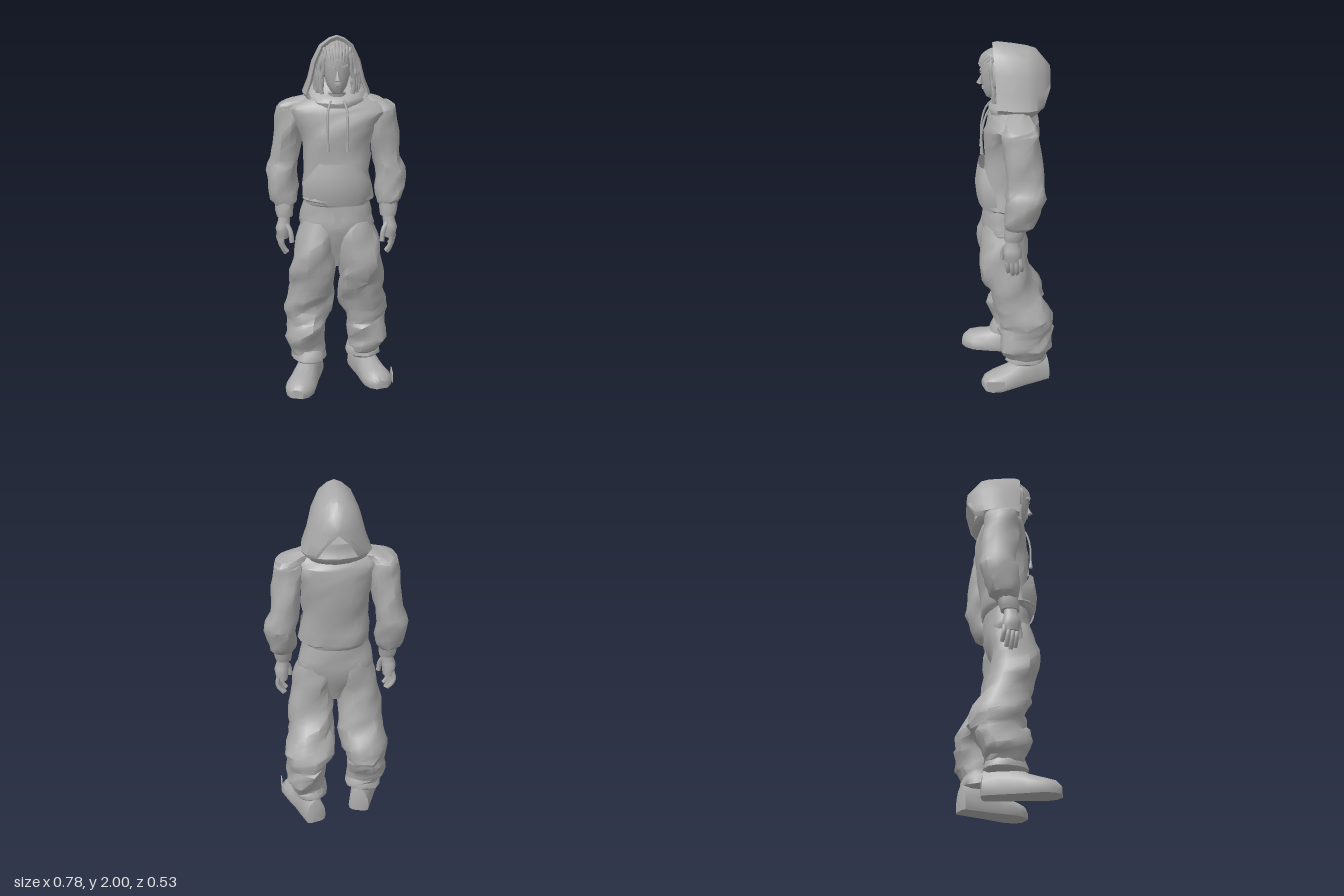
import * as THREE from 'three';
import { toCreasedNormals } from 'three/addons/utils/BufferGeometryUtils.js';

const grey = new THREE.MeshStandardMaterial({ color: 0xaaaaaa });
grey.name = 'plain grey';
grey.side = THREE.DoubleSide;

// Seeded random numbers for the crumpled cloth
let seed = 7;
const rnd = () => {
  seed = (seed * 16807) % 2147483647;
  return seed / 2147483647;
};

// Skins a row of equal-length point rings; closed rings may be capped
function skin(rings, closed = true, caps = true) {
  const n = rings[0].length, pos = [], idx = [];
  rings.forEach(r => r.forEach(p => pos.push(...p)));
  for (let i = 0; i < rings.length - 1; i++)
    for (let j = 0; j < (closed ? n : n - 1); j++) {
      const a = i * n + j, b = i * n + (j + 1) % n, c = a + n, d = b + n;
      idx.push(a, c, b, b, c, d);
    }
  if (caps) [0, rings.length - 1].forEach((i, end) => {
    const mid = [0, 1, 2].map(k => rings[i].reduce((s, p) => s + p[k], 0) / n);
    const m = pos.length / 3;
    pos.push(...mid);
    for (let j = 0; j < n; j++) {
      const a = i * n + j, b = i * n + (j + 1) % n;
      end ? idx.push(m, b, a) : idx.push(m, a, b);
    }
  });
  const g = new THREE.BufferGeometry();
  g.setAttribute('position', new THREE.Float32BufferAttribute(pos, 3));
  g.setIndex(idx);
  return toCreasedNormals(g, 0.75);
}

// Upright loft: sections [y, cx, cz, rx, rz] from bottom to top, with folds
function loft(sections, fold = 0, sides = 16, sub = 2) {
  const rows = [];
  sections.forEach((s, i) => {
    const next = sections[i + 1];
    for (let k = 0; k < (next ? sub : 1); k++)
      rows.push(next ? s.map((v, q) => v + (next[q] - v) * k / sub) : s);
  });
  const phase = rnd() * 6;
  return skin(rows.map(([y, cx, cz, rx, rz], i) => {
    const soft = i === 0 || i === rows.length - 1 ? 0.2 : 1;
    return Array.from({ length: sides }, (_, j) => {
      const a = j / sides * Math.PI * 2;
      const f = 1 + fold * soft * (Math.sin(a * 3 + y * 24 + phase) * 0.7 + (rnd() - 0.5) * 1.8);
      const sq = v => Math.sign(v) * Math.abs(v) ** 0.88;
      const dy = fold * soft * (rnd() - 0.5) * 0.25;
      return [cx + sq(Math.cos(a)) * rx * f, y + dy, cz + sq(Math.sin(a)) * rz * f];
    });
  }));
}

const tube = (pts, r, seg = 8, sides = 6) => new THREE.TubeGeometry(
  new THREE.CatmullRomCurve3(pts.map(p => new THREE.Vector3(...p))), seg, r, sides);

// Shoe from heel to toe: rows [distance, half width, top height]
function shoe(length) {
  const rows = [[0, 0.035, 0.1], [0.03, 0.06, 0.15], [0.25, 0.067, 0.18], [0.42, 0.07, 0.165],
    [0.6, 0.08, 0.125], [0.8, 0.087, 0.1], [0.93, 0.07, 0.085], [1, 0.038, 0.055]];
  return skin(rows.map(([t, w, h]) => Array.from({ length: 14 }, (_, j) => {
    const a = -j / 14 * Math.PI * 2, s = Math.sin(a);
    return [Math.cos(a) * w, s < -0.3 ? 0.005 : 0.03 + Math.max(s, 0) * (h - 0.03), t * length];
  })));
}

export function createModel() {
  const model = new THREE.Group();
  const add = (name, geo, parent = model) => {
    const m = new THREE.Mesh(geo, grey);
    m.name = name;
    parent.add(m);
    return m;
  };

  // Hooded top
  add('sweatshirt', loft([[1.08, 0, 0.015, 0.17, 0.135], [1.11, 0, 0.015, 0.195, 0.15],
    [1.25, 0, 0, 0.18, 0.135], [1.4, 0, -0.015, 0.185, 0.145], [1.5, 0, -0.02, 0.215, 0.15],
    [1.58, 0, -0.025, 0.265, 0.135], [1.62, 0, -0.025, 0.25, 0.115], [1.67, 0, -0.03, 0.15, 0.085]], 0.04, 20));
  add('collar', loft([[1.6, 0, -0.02, 0.14, 0.11], [1.64, 0, -0.04, 0.165, 0.14],
    [1.665, 0, -0.055, 0.178, 0.138], [1.695, 0, -0.065, 0.165, 0.112], [1.74, 0, -0.085, 0.13, 0.09]], 0.02, 20));

  // Hood arches, from the lining over the rim to the back: [z, width, top, bottom]
  const arch = [[0, 0.16], [0.08, 0.18], [0.3, 0.152], [0.6, 0.128], [0.85, 0.088], [0.96, 0.04]];
  const outline = [...arch, [1, 0], ...arch.map(([h, w]) => [h, -w]).reverse()];
  const hoodRows = [[-0.06, 0.84, 1.965, 1.66], [0.065, 0.86, 1.975, 1.66], [0.075, 0.93, 1.995, 1.655],
    [0.05, 0.97, 2, 1.655], [-0.02, 1.01, 1.99, 1.65], [-0.1, 1.03, 1.975, 1.65], [-0.145, 0.9, 1.96, 1.65],
    [-0.185, 0.66, 1.91, 1.67], [-0.22, 0.36, 1.865, 1.755], [-0.225, 0, 1.82, 1.81]];
  add('hood', skin(hoodRows.map(([z, w, top, low]) => outline.map(([h, x]) =>
    [x * w, low + h * (top - low), z + (z > 0 ? 0.02 * h - 0.015 : 0)])), false, false));

  // Front pocket wrapped round the belly
  const pocketRows = [[1.09, 0.17, 0.005], [1.13, 0.19, 0.015], [1.2, 0.185, 0.022], [1.26, 0.145, 0.014], [1.32, 0.1, 0.003]];
  add('pocket', skin(pocketRows.map(([y, w, out]) => Array.from({ length: 11 }, (_, j) => {
    const x = w * (j / 5 - 1);
    const edge = j === 0 || j === 10 ? -0.012 : out;
    return [x, y, 0.008 + 0.15 * Math.sqrt(1 - (x / 0.215) ** 2) + edge];
  }).reverse()), false, false));

  // Head and face
  const head = new THREE.Group();
  head.name = 'head';
  model.add(head);
  add('face', loft([[1.6, 0, 0, 0.055, 0.055], [1.69, 0, 0.02, 0.055, 0.06], [1.7, 0, 0.055, 0.032, 0.06],
    [1.73, 0, 0.05, 0.052, 0.078], [1.79, 0, 0.045, 0.07, 0.092], [1.85, 0, 0.04, 0.077, 0.102],
    [1.9, 0, 0.035, 0.075, 0.103], [1.94, 0, 0.025, 0.06, 0.088], [1.965, 0, 0.01, 0.03, 0.05]], 0, 18), head);
  const nose = add('nose', new THREE.ConeGeometry(0.017, 0.06, 4), head);
  nose.position.set(0, 1.8, 0.142);
  nose.rotation.x = -0.25;
  [1.755, 1.745].forEach((y, i) => {
    const lip = add('lip', new THREE.SphereGeometry(1, 8, 6), head);
    lip.scale.set(0.022 - i * 0.004, 0.006, 0.01);
    lip.position.set(0, y, 0.128);
  });

  // Cornrows running back from the hairline
  for (let i = -4; i <= 4; i++) {
    const x = i * 0.017, k = Math.abs(i);
    add('cornrow', tube([[x * 0.75, 1.875 - k * 0.004, 0.145 - k * k * 0.003], [x * 0.9, 1.92 - k * 0.004, 0.13 - k * k * 0.003],
      [x, 1.952 - k * 0.006, 0.085 - k * 0.004], [x, 1.965 - k * 0.007, 0.02]], 0.0115, 10), head);
  }

  for (const s of [1, -1]) {
    const side = s > 0 ? 'left' : 'right';

    // Brow, eye and hanging braids
    const brow = add(side + 'Brow', new THREE.BoxGeometry(0.045, 0.01, 0.014), head);
    brow.position.set(s * 0.033, 1.843, 0.133);
    brow.rotation.set(0, s * 0.35, s * 0.3);
    const eye = add(side + 'Eye', new THREE.SphereGeometry(0.011, 8, 6), head);
    eye.position.set(s * 0.031, 1.823, 0.122);
    eye.scale.y = 0.5;
    for (let i = 0; i < 5; i++) {
      const z = 0.085 - i * 0.016, x = 0.07 + i * 0.008, w = 0.008 * (i % 2 ? 1 : -1);
      add(side + 'Braid', tube([[s * (x - 0.02), 1.92, z], [s * x, 1.88, z + 0.005], [s * (x + 0.012 + w), 1.82, z],
        [s * (x + 0.01 - w), 1.76, z + w], [s * (x + 0.012), 1.69 + 0.012 * (i % 3), z - 0.01]], 0.013, 10), head);
    }

    // Drawstring with its tip
    add(side + 'Drawstring', tube([[s * 0.035, 1.655, 0.09], [s * 0.05, 1.61, 0.118], [s * 0.053, 1.52, 0.14],
      [s * 0.052, 1.42, 0.142]], 0.006, 10));
    add(side + 'DrawstringTip', new THREE.CylinderGeometry(0.007, 0.011, 0.045, 6)).position.set(s * 0.052, 1.41, 0.142);

    // Baggy sleeve, sloping into the shoulder, and cuff
    add(side + 'Sleeve', loft([[1.05, 0.285, -0.03, 0.05, 0.055], [1.08, 0.292, -0.045, 0.072, 0.08],
      [1.15, 0.297, -0.06, 0.083, 0.092], [1.24, 0.303, -0.08, 0.087, 0.107], [1.31, 0.283, -0.08, 0.078, 0.1],
      [1.42, 0.268, -0.07, 0.08, 0.1], [1.52, 0.258, -0.06, 0.08, 0.1], [1.59, 0.25, -0.055, 0.08, 0.095],
      [1.615, 0.235, -0.05, 0.082, 0.08], [1.645, 0.175, -0.045, 0.065, 0.06],
      [1.665, 0.12, -0.045, 0.04, 0.04]].map(r => [r[0], r[1] * s, ...r.slice(2)]), 0.065, 13));
    add(side + 'Cuff', loft([[0.99, s * 0.288, -0.015, 0.045, 0.05], [1.02, s * 0.29, -0.02, 0.05, 0.055],
      [1.07, s * 0.287, -0.03, 0.053, 0.058]], 0.02, 12));

    // Hand with curled fingers
    const hand = new THREE.Group();
    hand.name = side + 'Hand';
    model.add(hand);
    add('palm', loft([[0.865, s * 0.298, -0.015, 0.032, 0.046], [0.92, s * 0.3, -0.01, 0.04, 0.05],
      [0.96, s * 0.293, -0.01, 0.034, 0.04], [1.02, s * 0.288, -0.015, 0.03, 0.034]], 0, 12), hand);
    for (let i = 0; i < 4; i++) {
      const z = 0.022 - i * 0.024, len = [0.105, 0.12, 0.11, 0.085][i], x = 0.295 + i * 0.008;
      add('finger', tube([[s * x, 0.89, z], [s * (x + 0.008), 0.89 - len * 0.45, z - 0.004],
        [s * (x - 0.004), 0.89 - len * 0.8, z - 0.008], [s * (x - 0.02), 0.89 - len, z - 0.01]], 0.0125), hand);
    }
    add('thumb', tube([[s * 0.28, 0.95, 0.015], [s * 0.258, 0.91, 0.038], [s * 0.25, 0.85, 0.045]], 0.014), hand);
  }

  // Seat and fly of the trousers
  add('trouserSeat', loft([[0.72, 0, 0.02, 0.045, 0.06], [0.8, 0, 0.02, 0.1, 0.085], [0.88, 0, 0.015, 0.18, 0.115],
    [0.96, 0, 0.012, 0.21, 0.13], [1.03, 0, 0.01, 0.193, 0.125], [1.11, 0, 0.01, 0.175, 0.12]], 0.035, 18));
  const fly = add('fly', new THREE.BoxGeometry(0.035, 0.13, 0.02));
  fly.position.set(0, 1.02, 0.13);
  fly.rotation.x = -0.08;

  // Baggy trouser legs: [y, x, half width, left z, left depth, right z, right depth]
  const legRows = [[0.16, 0.155, 0.09, -0.095, 0.11, -0.02, 0.1], [0.2, 0.17, 0.1, -0.085, 0.125, -0.025, 0.105],
    [0.25, 0.183, 0.113, -0.09, 0.148, -0.03, 0.125], [0.33, 0.17, 0.108, -0.09, 0.155, -0.045, 0.16],
    [0.38, 0.167, 0.115, -0.1, 0.155, -0.06, 0.155], [0.44, 0.158, 0.137, -0.095, 0.15, -0.06, 0.15],
    [0.52, 0.147, 0.127, -0.055, 0.14, -0.03, 0.138], [0.6, 0.137, 0.125, -0.015, 0.135, 0, 0.13],
    [0.68, 0.135, 0.128, 0.02, 0.13, 0.025, 0.13], [0.78, 0.127, 0.122, 0.035, 0.13, 0.035, 0.13],
    [0.88, 0.115, 0.112, 0.025, 0.128, 0.025, 0.128], [0.98, 0.095, 0.095, 0.015, 0.115, 0.015, 0.115]];
  add('leftTrouserLeg', loft(legRows.map(([y, x, w, z, d]) => [y, x, z, w, d]), 0.07, 14));
  add('rightTrouserLeg', loft(legRows.map(([y, x, w, , , z, d]) => [y, -x, z, w, d]), 0.07, 14));

  // Gathered ankle cuffs and shoes: [name, ankle x, ankle z, heel x, heel z, toe x, toe z]
  for (const [side, ax, az, hx, hz, tx, tz] of [['left', 0.155, -0.095, 0.125, -0.225, 0.255, 0.15],
    ['right', -0.16, -0.02, -0.125, -0.14, -0.235, 0.258]]) {
    add(side + 'AnkleCuff', loft([[0.125, ax, az, 0.075, 0.095], [0.145, ax, az, 0.1, 0.118],
      [0.17, ax, az, 0.098, 0.115], [0.2, ax, az, 0.085, 0.1]], 0.05, 14, 1));
    const foot = add(side + 'Shoe', shoe(Math.hypot(tx - hx, tz - hz)));
    foot.position.set(hx, -0.005, hz);
    foot.rotation.y = Math.atan2(tx - hx, tz - hz);
  }
  add('shoeTag', new THREE.BoxGeometry(0.007, 0.05, 0.105)).position.set(0.313, 0.055, 0.083);
  return model;
}
